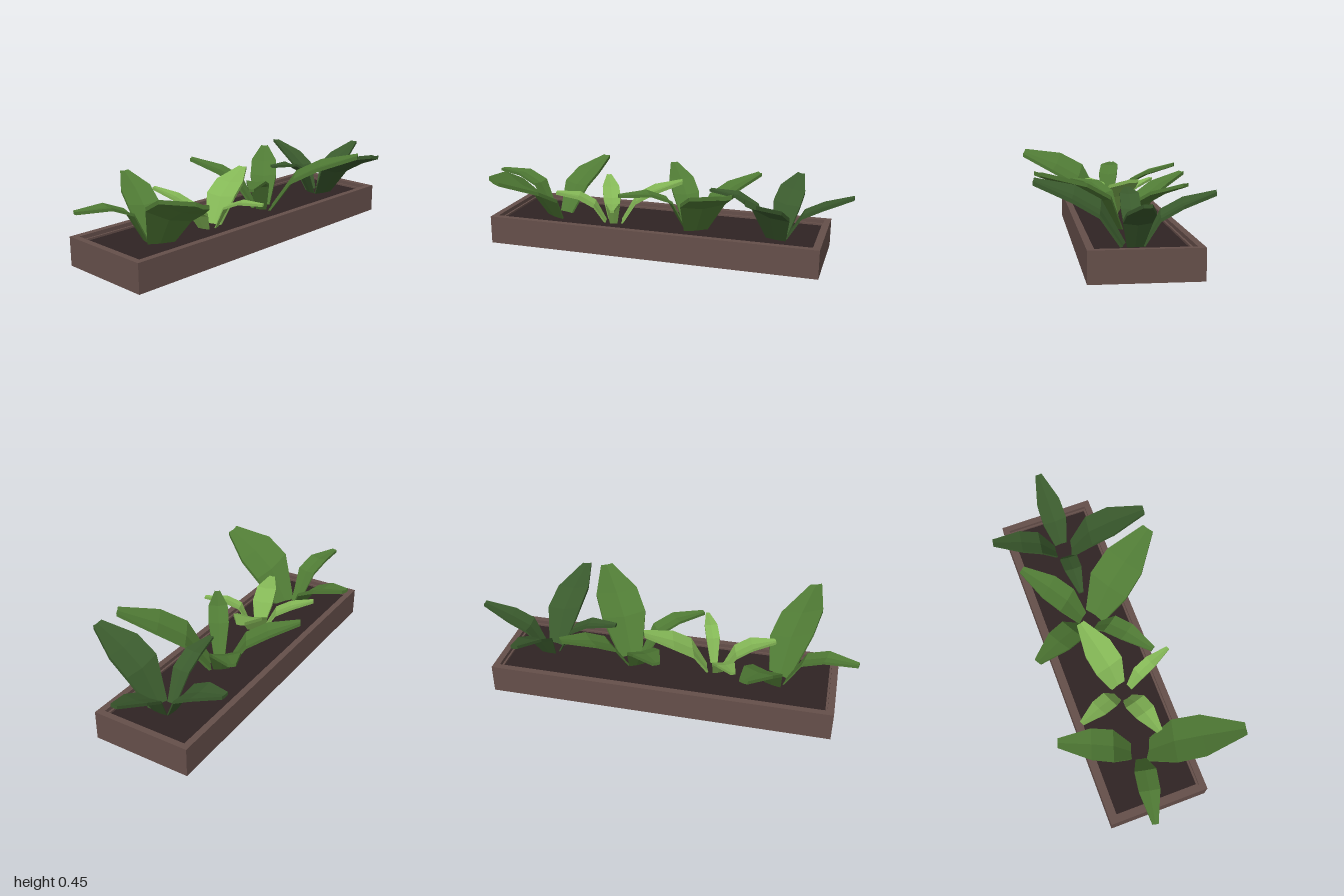
import * as THREE from 'three';

const mat = (name, color) => Object.assign(new THREE.MeshStandardMaterial({ color, flatShading: true }), { name });

// Thick, creased leaf lofted through four six-point cross-sections.
function leafGeometry([cx, cz], { tip, width, rise = [0.6, 0.82], roll = 0, at = [0.33, 0.6] }) {
  const [tx, ty, tz] = tip;
  const y0 = 0.11, length = Math.hypot(tx - cx, tz - cz);
  const fx = (tx - cx) / length, fz = (tz - cz) / length;
  const thick = Math.min(0.02, 0.008 + width * 0.06);
  // distance from the plant centre, height, width
  const stations = [
    [0.035, y0, width * 0.45],
    [length * at[0], y0 + (ty - y0) * rise[0], width * 0.96],
    [length * at[1], y0 + (ty - y0) * rise[1], width * 0.92],
    [length, ty, width * 0.26],
  ];
  const rings = stations.map(([r, y, w]) =>
    [[1, 0], [0, 0], [-1, 0], [-1, 1], [0, 1], [1, 1]].map(([side, under]) => {
      const s = side * w / 2 * Math.cos(roll);
      const lift = side * w / 2 * Math.sin(roll) - (side === 0 ? w * 0.07 : 0);
      return [cx + fx * r - fz * s, y + lift - under * thick, cz + fz * r + fx * s];
    }));
  const pos = [];
  const quad = (a, b, c, d) => pos.push(...a, ...b, ...c, ...a, ...c, ...d);
  for (let k = 0; k < 3; k++) {
    const a = rings[k], b = rings[k + 1];
    for (let i = 0; i < 6; i++) {
      const j = (i + 1) % 6;
      quad(a[i], b[i], b[j], a[j]);
    }
  }
  const [b, t] = [rings[0], rings[3]];
  quad(b[0], b[1], b[4], b[5]);
  quad(b[1], b[2], b[3], b[4]);
  quad(t[5], t[4], t[1], t[0]);
  quad(t[4], t[3], t[2], t[1]);
  const g = new THREE.BufferGeometry();
  g.setAttribute('position', new THREE.Float32BufferAttribute(pos, 3));
  g.computeVertexNormals();
  return g;
}

// Rectangular frame lying flat, from y = bottom to y = top.
function frameGeometry(w, d, wall, bottom, top) {
  const rect = (T, x, y) => {
    const p = new T();
    p.moveTo(-x, -y); p.lineTo(x, -y); p.lineTo(x, y); p.lineTo(-x, y); p.closePath();
    return p;
  };
  const shape = rect(THREE.Shape, w / 2, d / 2);
  shape.holes.push(rect(THREE.Path, w / 2 - wall, d / 2 - wall));
  const g = new THREE.ExtrudeGeometry(shape, { depth: top - bottom, bevelEnabled: false });
  return g.rotateX(-Math.PI / 2).translate(0, bottom, 0);
}

export function createModel() {
  const model = new THREE.Group();
  model.name = 'planter';
  const wood = mat('planter brown', 0x654f4a);
  const earth = mat('soil', 0x2f2323);
  const dark = mat('dark green', 0x3a5a2d);
  const mid = mat('leaf green', 0x507b35);
  const light = mat('light green', 0x84b756);
  const add = (parent, name, geometry, material) => {
    const m = new THREE.Mesh(geometry, material);
    m.name = name;
    parent.add(m);
    return m;
  };

  // Planter box with a raised rim, an inner step and recessed soil
  const box = new THREE.Group();
  box.name = 'box';
  box.position.set(-0.065, 0, 0.018);
  model.add(box);
  const W = 0.52, D = 1.775;
  add(box, 'boxBase', new THREE.BoxGeometry(W, 0.1, D).translate(0, 0.05, 0), wood);
  add(box, 'rim', frameGeometry(W, D, 0.033, 0.1, 0.15), wood);
  add(box, 'innerStep', frameGeometry(W - 0.066, D - 0.066, 0.01, 0.1, 0.13), wood);
  add(box, 'soil', new THREE.BoxGeometry(W - 0.086, 0.02, D - 0.086).translate(0, 0.11, 0), earth);

  // Four plants from back to front
  const flat = [0.8, 1];
  const plants = [
    { name: 'backPlant', material: dark, centre: [-0.04, -0.63], leaves: [
      { tip: [-0.045, 0.365, -1.0], width: 0.14, rise: [0.58, 0.78] },
      { tip: [-0.41, 0.37, -0.685], width: 0.15, roll: -0.15 },
      { tip: [0.41, 0.42, -0.565], width: 0.21, roll: 0.2 },
      { tip: [-0.06, 0.34, -0.26], width: 0.1, rise: [0.7, 0.95] },
    ] },
    { name: 'middlePlant', material: mid, centre: [-0.05, -0.17], leaves: [
      { tip: [-0.315, 0.38, -0.475], width: 0.15 },
      { tip: [0.385, 0.44, -0.44], width: 0.25 },
      { tip: [-0.4, 0.38, 0.04], width: 0.15 },
      { tip: [0.18, 0.335, 0.165], width: 0.11, rise: flat },
    ] },
    { name: 'smallPlant', material: light, centre: [-0.02, 0.27], leaves: [
      { tip: [-0.125, 0.355, -0.09], width: 0.17 },
      { tip: [0.265, 0.275, 0.17], width: 0.075, rise: flat },
      { tip: [-0.295, 0.305, 0.4], width: 0.1 },
      { tip: [0.06, 0.285, 0.57], width: 0.12, rise: [0.65, 0.92] },
    ] },
    { name: 'frontPlant', material: mid, centre: [-0.055, 0.6], leaves: [
      { tip: [-0.445, 0.38, 0.47], width: 0.17 },
      { tip: [0.435, 0.435, 0.735], width: 0.26, roll: 0.35 },
      { tip: [-0.135, 0.338, 0.995], width: 0.115, rise: flat },
    ] },
  ];
  for (const { name, material, centre, leaves } of plants) {
    const plant = new THREE.Group();
    plant.name = name;
    leaves.forEach((leaf, i) => add(plant, `leaf${i + 1}`, leafGeometry(centre, leaf), material));
    model.add(plant);
  }
  return model;
}
